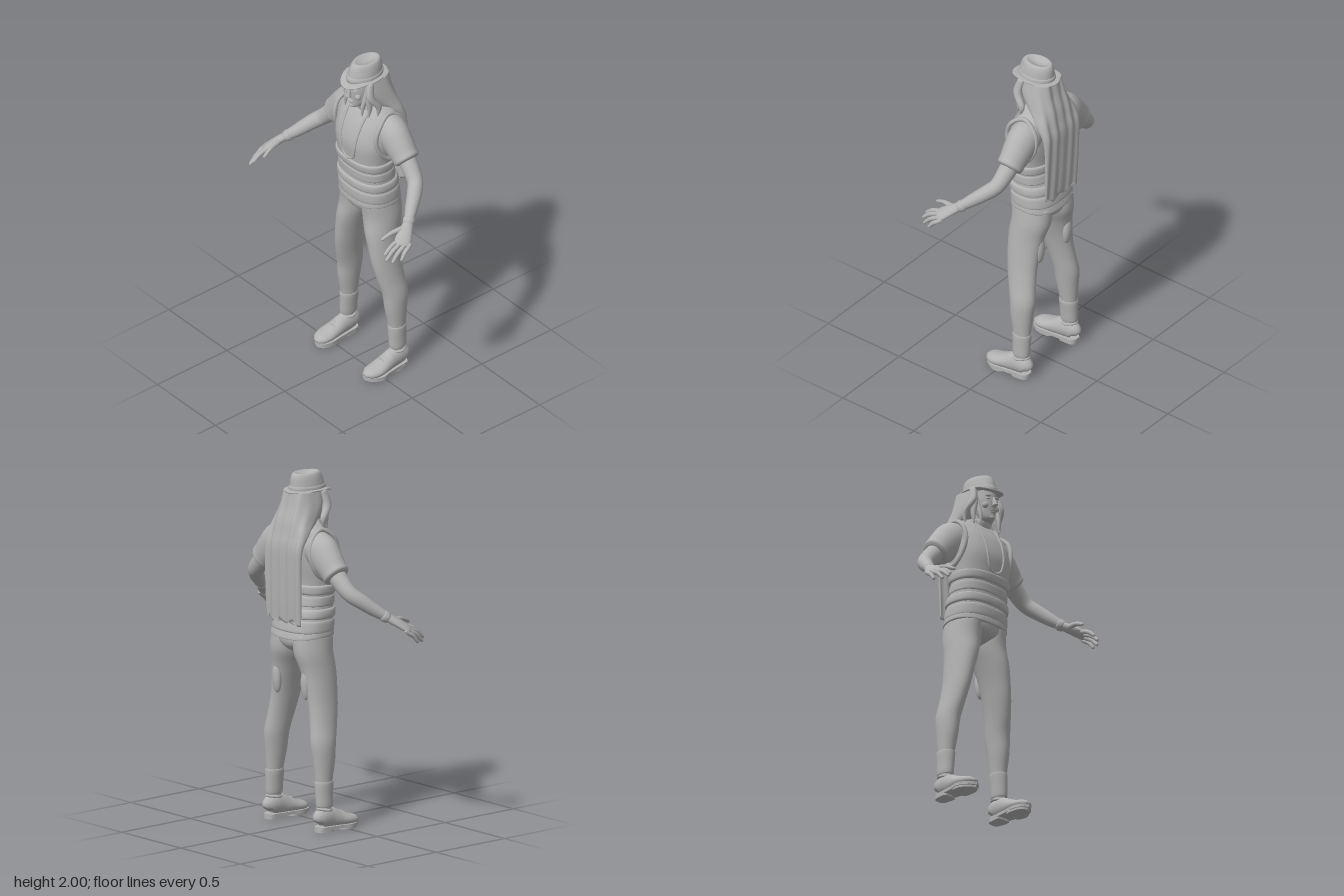
import * as THREE from 'three';

const grey = new THREE.MeshStandardMaterial({ color: 0xb2b2b2 });
grey.name = 'plain grey';
const V = (x, y, z) => new THREE.Vector3(x, y, z);

function add(parent, name, geometry) {
  const m = new THREE.Mesh(geometry, grey);
  m.name = name;
  parent.add(m);
  return m;
}

// Catmull-Rom through rows of numbers
function refine(rows, sub = 4) {
  const out = [], n = rows.length - 1;
  for (let i = 0; i < n; i++) {
    const [a, b, c, d] = [rows[Math.max(i - 1, 0)], rows[i], rows[i + 1], rows[Math.min(i + 2, n)]];
    for (let s = 0; s < sub; s++) {
      const t = s / sub;
      out.push(b.map((_, k) => 0.5 * (2 * b[k] + (c[k] - a[k]) * t + (2 * a[k] - 5 * b[k] + 4 * c[k] - d[k]) * t * t
        + (3 * b[k] - a[k] - 3 * c[k] + d[k]) * t * t * t)));
    }
  }
  out.push(rows[n]);
  return out;
}

// Skin over oval rings [x, y, z, halfWidth, halfDepth].
// Without ref the rings lie flat and must be listed bottom up.
function loft(rows, { ref = null, seg = 28, p = 2, sub = 4, warp = null } = {}) {
  const r = refine(rows, sub), pos = [], idx = [], q = 2 / p;
  r.forEach(([x, y, z, a, b], i) => {
    let u = V(1, 0, 0), v = V(0, 0, -1);
    if (ref) {
      const f = r[Math.max(i - 1, 0)], g = r[Math.min(i + 1, r.length - 1)];
      const t = V(g[0] - f[0], g[1] - f[1], g[2] - f[2]).normalize();
      u = ref.clone().addScaledVector(t, -ref.dot(t)).normalize();
      v = t.clone().cross(u);
    }
    for (let j = 0; j < seg; j++) {
      const c = Math.cos(j / seg * Math.PI * 2), s = Math.sin(j / seg * Math.PI * 2);
      const w = V(x, y, z).addScaledVector(u, a * Math.sign(c) * Math.abs(c) ** q)
        .addScaledVector(v, b * Math.sign(s) * Math.abs(s) ** q);
      if (warp) warp(w);
      pos.push(w.x, w.y, w.z);
      if (i) {
        const k = (j + 1) % seg, lo = (i - 1) * seg, hi = i * seg;
        idx.push(lo + j, lo + k, hi + k, lo + j, hi + k, hi + j);
      }
    }
  });
  const end = (r.length - 1) * seg, n = pos.length / 3;
  pos.push(...r[0].slice(0, 3), ...r[r.length - 1].slice(0, 3));
  for (let j = 0; j < seg; j++) {
    const k = (j + 1) % seg;
    idx.push(n, k, j, n + 1, end + j, end + k);
  }
  const g = new THREE.BufferGeometry();
  g.setAttribute('position', new THREE.Float32BufferAttribute(pos, 3));
  g.setIndex(idx);
  g.computeVertexNormals();
  return g;
}

const tube = (pts, r, closed = false, n = 48) =>
  new THREE.TubeGeometry(new THREE.CatmullRomCurve3(pts, closed), n, r, 8, closed);

function blob(parent, name, x, y, z, a, b, c) {
  const m = add(parent, name, new THREE.SphereGeometry(1, 20, 14));
  m.position.set(x, y, z);
  m.scale.set(a, b, c);
  return m;
}

const P = 2.4;
const TORSO = [[0, 1.09, -0.112, 0.185, 0.138], [0, 1.2, -0.1, 0.18, 0.13], [0, 1.3, -0.086, 0.175, 0.118],
  [0, 1.4, -0.08, 0.18, 0.124], [0, 1.5, -0.085, 0.192, 0.135], [0, 1.6, -0.103, 0.192, 0.125],
  [0, 1.67, -0.117, 0.178, 0.1], [0, 1.705, -0.118, 0.145, 0.08], [0, 1.73, -0.1, 0.085, 0.065]];
const FINE = refine(TORSO, 20);
const torsoAt = y => FINE.reduce((m, r) => Math.abs(r[1] - y) < Math.abs(m[1] - y) ? r : m);
const torsoFront = (x, y) => {
  const [, , z, a, b] = torsoAt(y);
  return z + b * (1 - Math.min(1, Math.abs(x / a)) ** P) ** (1 / P);
};

function buildBody(g) {
  add(g, 'vest', loft(TORSO, { p: P, seg: 48 }));
  // padded bands round the waist, and the hem
  for (const [y0, y1, out] of [[1.33, 1.385, 0.009], [1.265, 1.32, 0.004], [1.195, 1.25, 0.009], [1.115, 1.185, 0.005]]) {
    const rows = [[0, 0], [0.12, 1], [0.5, 1.25], [0.88, 1], [1, 0]].map(([t, k]) => {
      const y = y0 + (y1 - y0) * t, r = torsoAt(y);
      return [0, y, r[2], r[3] + out * k, r[4] + out * k];
    });
    add(g, 'vestBand', loft(rows, { p: P, seg: 48, sub: 3 }));
  }
  add(g, 'shirtHem', loft([[0, 1.085, -0.112, 0.18, 0.135], [0, 1.088, -0.112, 0.19, 0.143], [0, 1.13, -0.108, 0.184, 0.136]],
    { p: P, seg: 48, warp: w => { w.y += 0.06 * (w.z + 0.1) * (w.z < -0.1 ? 1 : -0.2) + 0.25 * w.x * w.x; } }));
  // piping in a long loop down the chest
  const half = [[0.078, 1.7], [0.072, 1.64], [0.066, 1.55], [0.06, 1.47], [0.042, 1.41]];
  const loop = [...half, [0, 1.388], ...half.slice().reverse().map(([x, y]) => [-x, y])];
  add(g, 'chestPiping', tube(loop.map(([x, y]) => V(x, y, torsoFront(x, y) + 0.001)), 0.007, false, 80));
  add(g, 'neck', loft([[0, 1.66, -0.1, 0.075, 0.065], [0, 1.72, -0.085, 0.062, 0.06], [0, 1.8, -0.07, 0.055, 0.058]]));
  add(g, 'collar', loft([[0, 1.69, -0.1, 0.09, 0.07], [0, 1.72, -0.09, 0.073, 0.069], [0, 1.735, -0.088, 0.064, 0.062]]));
  add(g, 'pelvis', loft([[0, 0.99, -0.125, 0.02, 0.05], [0, 1.01, -0.12, 0.07, 0.09], [0, 1.05, -0.113, 0.15, 0.125], [0, 1.12, -0.108, 0.175, 0.13]]));
}

function buildHead(g) {
  add(g, 'head', loft([[0, 1.722, -0.012, 0.02, 0.025], [0, 1.735, -0.024, 0.04, 0.05], [0, 1.77, -0.043, 0.059, 0.071],
    [0, 1.81, -0.055, 0.068, 0.087], [0, 1.85, -0.06, 0.072, 0.093], [0, 1.92, -0.065, 0.07, 0.09]], { seg: 36 }));
  add(g, 'nose', loft([[0, 1.797, 0.034, 0.008, 0.008], [0, 1.805, 0.042, 0.015, 0.017], [0, 1.82, 0.038, 0.011, 0.016],
    [0, 1.855, 0.029, 0.007, 0.009]], { seg: 16 }));
  blob(g, 'upperLip', 0, 1.777, 0.028, 0.022, 0.005, 0.01);
  blob(g, 'lowerLip', 0, 1.767, 0.026, 0.019, 0.006, 0.01);
  blob(g, 'chin', 0, 1.737, 0.016, 0.02, 0.014, 0.016);
  for (const s of [-1, 1]) {
    blob(g, 'eye', s * 0.03, 1.843, 0.022, 0.013, 0.006, 0.008);
    blob(g, 'eyebrow', s * 0.031, 1.861, 0.023, 0.02, 0.006, 0.011).rotation.z = s * -0.1;
    blob(g, 'cheek', s * 0.04, 1.805, 0.008, 0.02, 0.02, 0.016);
  }
  // hat: oval brim with lifted sides, crown with a pinched dent on top
  add(g, 'hatBrim', loft([[0, 1.897, -0.07, 0.075, 0.11], [0, 1.896, -0.07, 0.1, 0.144], [0, 1.902, -0.07, 0.103, 0.147],
    [0, 1.905, -0.07, 0.099, 0.143], [0, 1.907, -0.07, 0.078, 0.112]],
  { seg: 48, sub: 2, warp: w => { w.y += 0.6 * w.x * w.x - 0.25 * Math.max(0, w.z) - 0.003; } }));
  add(g, 'hatCrown', loft([[0, 1.895, -0.075, 0.082, 0.116], [0, 1.925, -0.077, 0.077, 0.11], [0, 1.965, -0.081, 0.069, 0.103],
    [0, 1.99, -0.084, 0.059, 0.092], [0, 1.998, -0.086, 0.047, 0.078], [0, 1.99, -0.088, 0.03, 0.055], [0, 1.982, -0.09, 0.012, 0.025]],
  { seg: 40, warp: w => { if (w.z > -0.06) w.x *= 1 - 1.6 * (w.z + 0.06) * (w.y > 1.95 ? 1 : 0.4); } }));
  add(g, 'hatRibbon', loft([[0, 1.9, -0.075, 0.081, 0.115], [0, 1.906, -0.075, 0.083, 0.117], [0, 1.922, -0.077, 0.081, 0.115],
    [0, 1.927, -0.077, 0.076, 0.109]], { seg: 40, sub: 2, warp: w => { if (w.z > -0.06) w.x *= 1 - 0.64 * (w.z + 0.06); } }));
  // long hair hanging down the back, grooved into strands
  add(g, 'longHair', loft([[0, 1.175, -0.243, 0.138, 0.012], [0, 1.3, -0.246, 0.143, 0.017], [0, 1.5, -0.25, 0.147, 0.02],
    [0, 1.6, -0.243, 0.15, 0.027], [0, 1.67, -0.208, 0.148, 0.048], [0, 1.74, -0.162, 0.13, 0.08],
    [0, 1.82, -0.122, 0.114, 0.096], [0, 1.905, -0.105, 0.094, 0.096]],
  { seg: 120, p: 3, sub: 6, warp: w => {
    w.z += 0.005 * Math.sin(w.x * 95 + w.y * 3) - 0.09 * Math.max(0, 1.68 - w.y) * w.x * w.x;
    w.y += w.y < 1.2 ? 0.012 * Math.sin(w.x * 60) : 0;
  } }));
  for (const s of [-1, 1])
    for (const [x0, x1, y1, z1, r] of [[0.078, 0.072, 1.69, 0.005, 0.014], [0.088, 0.1, 1.685, -0.02, 0.017], [0.092, 0.128, 1.69, -0.06, 0.02]])
      add(g, 'hairLock', loft([[s * x1, y1, z1, 0.003, 0.003], [s * x1, y1 + 0.06, z1 - 0.008, r * 0.8, r],
        [s * (x0 + x1) / 2, 1.82, -0.025, r, r * 1.3], [s * x0, 1.905, -0.04, r * 0.7, r]], { seg: 12 }));
}

function buildArm(g) {
  const Z = V(0, 0, 1);
  add(g, 'sleeve', loft([[0.09, 1.6, -0.125, 0.08, 0.09], [0.17, 1.585, -0.125, 0.088, 0.103], [0.23, 1.535, -0.125, 0.083, 0.096],
    [0.28, 1.488, -0.125, 0.075, 0.083], [0.305, 1.465, -0.125, 0.073, 0.078], [0.314, 1.457, -0.125, 0.052, 0.055]], { ref: Z }));
  add(g, 'arm', loft([[0.27, 1.497, -0.125, 0.055, 0.055], [0.33, 1.44, -0.122, 0.05, 0.052], [0.395, 1.377, -0.108, 0.044, 0.046],
    [0.44, 1.335, -0.066, 0.042, 0.043], [0.49, 1.28, 0, 0.035, 0.036], [0.53, 1.24, 0.052, 0.025, 0.027]], { ref: Z }));
  add(g, 'armholeTrim', tube([V(0.16, 1.7, -0.115), V(0.178, 1.65, -0.035), V(0.178, 1.56, -0.008), V(0.186, 1.46, -0.045),
    V(0.188, 1.42, -0.1), V(0.186, 1.46, -0.165), V(0.178, 1.56, -0.208), V(0.17, 1.65, -0.19)], 0.013, true));
  // hand
  const across = V(0.055, -0.02, -0.04).normalize();
  add(g, 'wristband', loft([[0.512, 1.256, 0.03, 0.026, 0.026], [0.517, 1.251, 0.036, 0.034, 0.033], [0.53, 1.24, 0.053, 0.032, 0.029],
    [0.535, 1.235, 0.06, 0.024, 0.02]], { ref: across, seg: 20 }));
  add(g, 'palm', loft([[0.525, 1.245, 0.045, 0.026, 0.023], [0.553, 1.217, 0.088, 0.037, 0.022], [0.578, 1.188, 0.13, 0.045, 0.018],
    [0.592, 1.172, 0.152, 0.041, 0.013], [0.598, 1.166, 0.16, 0.03, 0.006]], { ref: across, seg: 20 }));
  const fingers = [[[0.563, 1.187, 0.155], [0.57, 1.132, 0.258]], [[0.583, 1.176, 0.158], [0.59, 1.108, 0.264]],
    [[0.603, 1.168, 0.145], [0.612, 1.093, 0.238]], [[0.618, 1.163, 0.12], [0.632, 1.097, 0.19]], [[0.537, 1.227, 0.085], [0.507, 1.19, 0.23]]];
  fingers.forEach(([a, b], i) => {
    const at = (t, r, lift = 0) => [...a.map((c, k) => c + (b[k] - c) * t + (k === 1 ? lift : 0)), r, r];
    add(g, i === 4 ? 'thumb' : 'finger', loft([at(-0.15, 0.01), at(0.1, i === 4 ? 0.017 : 0.0125), at(0.55, 0.0125, 0.009), at(0.92, 0.0095), at(1, 0.004)],
      { ref: across, seg: 12 }));
  });
}

function buildLeg(g) {
  add(g, 'trouserLeg', loft([[0.213, 0.15, -0.135, 0.036, 0.048], [0.207, 0.28, -0.135, 0.043, 0.053], [0.202, 0.4, -0.13, 0.054, 0.069],
    [0.195, 0.5, -0.13, 0.06, 0.079], [0.178, 0.6, -0.113, 0.058, 0.087], [0.16, 0.7, -0.1, 0.061, 0.095], [0.142, 0.8, -0.098, 0.068, 0.103],
    [0.121, 0.9, -0.102, 0.08, 0.112], [0.099, 1, -0.118, 0.094, 0.121], [0.092, 1.1, -0.112, 0.088, 0.125]], { seg: 32 }));
  add(g, 'legCuff', loft([[0.213, 0.142, -0.135, 0.032, 0.042], [0.213, 0.146, -0.135, 0.04, 0.052], [0.21, 0.21, -0.135, 0.043, 0.055],
    [0.207, 0.278, -0.135, 0.047, 0.057], [0.207, 0.285, -0.135, 0.04, 0.05]], { seg: 32 }));
  add(g, 'ankle', loft([[0.213, 0.08, -0.135, 0.036, 0.045], [0.213, 0.17, -0.135, 0.033, 0.043]]));
  blob(g, 'thighPatch', 0.12, 0.82, -0.195, 0.03, 0.085, 0.022).rotation.x = -0.06;
  // shoe
  add(g, 'shoeUpper', loft([[0.213, 0.055, -0.187, 0.02, 0.025], [0.213, 0.07, -0.173, 0.039, 0.05], [0.213, 0.08, -0.135, 0.045, 0.06],
    [0.213, 0.073, -0.09, 0.046, 0.058], [0.214, 0.06, -0.04, 0.051, 0.046], [0.216, 0.048, 0.02, 0.057, 0.034],
    [0.21, 0.042, 0.07, 0.046, 0.026], [0.206, 0.038, 0.1, 0.015, 0.01]], { ref: V(1, 0, 0) }));
  add(g, 'shoeCollar', tube([V(0.253, 0.125, -0.135), V(0.213, 0.12, -0.087), V(0.173, 0.125, -0.135), V(0.213, 0.132, -0.182)], 0.008, true));
  const outline = [[0.206, 0.105], [0.17, 0.083], [0.153, 0.03], [0.162, -0.04], [0.17, -0.12], [0.178, -0.175], [0.213, -0.192],
    [0.248, -0.175], [0.256, -0.12], [0.267, -0.04], [0.279, 0.02], [0.248, 0.08]];
  const slab = (pts, h) => {
    const shape = new THREE.Shape(new THREE.SplineCurve([...pts, pts[0]].map(([x, z]) => new THREE.Vector2(x, -z))).getPoints(48));
    return new THREE.ExtrudeGeometry(shape, { depth: h, bevelEnabled: false }).rotateX(-Math.PI / 2);
  };
  add(g, 'shoeSole', slab(outline, 0.018)).position.y = 0.012;
  add(g, 'shoeHeel', slab([[0.17, -0.1], [0.178, -0.175], [0.213, -0.191], [0.248, -0.175], [0.255, -0.1], [0.213, -0.093]], 0.02));
  add(g, 'shoeTread', slab([[0.206, 0.095], [0.172, 0.075], [0.158, 0.03], [0.165, -0.03], [0.215, -0.045], [0.263, -0.03], [0.273, 0.02], [0.245, 0.07]], 0.013));
  for (const [z, y] of [[-0.06, 0.114], [-0.038, 0.106], [-0.016, 0.098]])
    add(g, 'shoelace', tube([V(0.186, y - 0.009, z), V(0.214, y, z), V(0.242, y - 0.009, z)], 0.005, false, 12));
}

export function createModel() {
  const model = new THREE.Group();
  model.name = 'figure';
  const part = (name, build, side = 1) => {
    const g = new THREE.Group();
    g.name = name;
    build(g);
    g.scale.x = side;
    model.add(g);
  };
  part('body', buildBody);
  part('headAndHat', buildHead);
  for (const [side, label] of [[1, 'left'], [-1, 'right']]) {
    part(label + 'Arm', buildArm, side);
    part(label + 'Leg', buildLeg, side);
  }
  return model;
}
